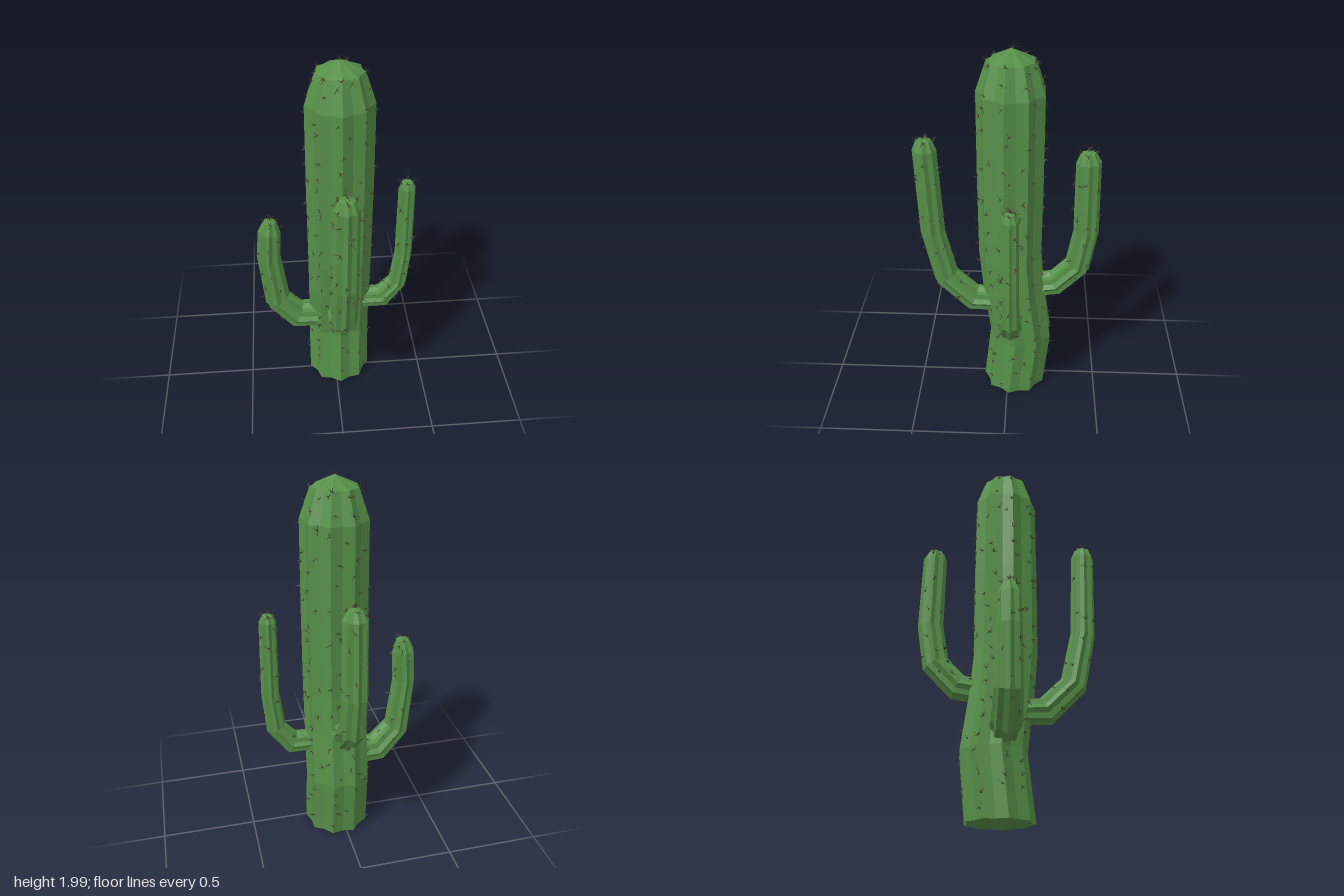
import * as THREE from 'three';
import { mergeGeometries } from 'three/addons/utils/BufferGeometryUtils.js';

const UP = new THREE.Vector3(0, 1, 0);
const green = new THREE.MeshStandardMaterial({ color: 0x568f48, flatShading: true });
const brown = new THREE.MeshStandardMaterial({ color: 0x43382a, flatShading: true, side: THREE.DoubleSide });

let seed = 7;
const rand = () => (seed = (seed * 16807) % 2147483647) / 2147483647;

// Star-shaped rings along a planar path. Each step is [distance along dir, height, radius].
function ribbedRings(origin, dir, steps, ribs, valley, level) {
  const side = new THREE.Vector3().crossVectors(dir, UP);
  const path = steps.map(([u, y]) => origin.clone().addScaledVector(dir, u).addScaledVector(UP, y));
  return path.map((center, i) => {
    const a = path[Math.max(i - 1, 0)], b = path[Math.min(i + 1, path.length - 1)];
    const before = (i ? center.clone().sub(a) : b.clone().sub(center)).normalize();
    const after = (i < path.length - 1 ? b.clone().sub(center) : before.clone()).normalize();
    const tangent = level ? UP.clone() : before.clone().add(after).normalize();
    const mitre = level ? 1 : 1 / Math.max(0.7, tangent.dot(before));
    const normal = new THREE.Vector3().crossVectors(tangent, side);
    const points = [];
    for (let j = 0; j < ribs * 2; j++) {
      const angle = (j / ribs) * Math.PI + Math.PI / 2;
      const r = steps[i][2] * (j % 2 ? valley : 1);
      points.push(center.clone()
        .addScaledVector(side, Math.cos(angle) * r)
        .addScaledVector(normal, Math.sin(angle) * r * mitre));
    }
    return { center, points };
  });
}

// Skin over the rings, closed at the bottom and brought to a point at the tip
function skin(rings, tip) {
  const pos = [];
  const tri = (...corners) => corners.forEach((p) => pos.push(p.x, p.y, p.z));
  const n = rings[0].points.length, first = rings[0], last = rings[rings.length - 1];
  for (let j = 0; j < n; j++) {
    const k = (j + 1) % n;
    for (let i = 0; i < rings.length - 1; i++) {
      const a = rings[i].points, b = rings[i + 1].points;
      tri(a[j], a[k], b[k]);
      tri(a[j], b[k], b[j]);
    }
    tri(first.center, first.points[k], first.points[j]);
    tri(last.points[j], last.points[k], tip);
  }
  const geo = new THREE.BufferGeometry();
  geo.setAttribute('position', new THREE.Float32BufferAttribute(pos, 3));
  geo.computeVertexNormals();
  return geo;
}

// A tuft of thin spikes fanning out from a point
function addTuft(list, point, out) {
  for (let i = 0; i < 6; i++) {
    const dir = new THREE.Vector3(rand() - 0.5, rand() - 0.5, rand() - 0.5)
      .normalize().addScaledVector(out, 0.75).normalize();
    const length = 0.024 + rand() * 0.014;
    const spike = new THREE.ConeGeometry(0.0021, length, 3, 1, true);
    spike.translate(0, length / 2 - 0.003, 0);
    spike.applyQuaternion(new THREE.Quaternion().setFromUnitVectors(UP, dir));
    spike.translate(point.x, point.y, point.z);
    list.push(spike);
  }
}

// Tufts spread over the skin, gathered towards the rib crests
function spines(rings, tip, start) {
  const list = [];
  const n = rings[0].points.length;
  for (let i = start; i < rings.length - 1; i++) {
    const a = rings[i], b = rings[i + 1];
    for (let j = 0; j < n; j += 2) {
      const length = a.points[j].distanceTo(b.points[j]);
      const width = a.points[j].distanceTo(a.points[(j + 2) % n]);
      const count = Math.floor((length * width) / 0.011 + rand());
      for (let c = 0; c < count; c++) {
        const t = (c + 0.15 + rand() * 0.7) / count;
        const across = rand() ** 2 * 0.9;
        const k = (j + (rand() < 0.5 ? 1 : n - 1)) % n;
        const low = a.points[j].clone().lerp(a.points[k], across);
        const high = b.points[j].clone().lerp(b.points[k], across);
        const point = low.lerp(high, t);
        const out = point.clone().sub(a.center.clone().lerp(b.center, t)).normalize();
        if (point.y > 0.04) addTuft(list, point, out);
      }
    }
  }
  // Crown tufts
  const rim = rings[rings.length - 1];
  for (let j = 0; j < n; j += 4) {
    addTuft(list, rim.points[j], rim.points[j].clone().sub(rim.center).normalize().add(UP).normalize());
  }
  addTuft(list, tip, UP);
  return mergeGeometries(list);
}

function limb(name, { origin, dir, steps, ribs, valley, level = false, start = 0, rise }) {
  const group = new THREE.Group();
  group.name = name;
  const rings = ribbedRings(origin, dir, steps, ribs, valley, level);
  const tip = rings[rings.length - 1].center.clone().addScaledVector(UP, rise);
  const body = new THREE.Mesh(skin(rings, tip), green);
  body.name = name + 'Body';
  const spikes = new THREE.Mesh(spines(rings, tip, start), brown);
  spikes.name = name + 'Spines';
  group.add(body, spikes);
  return group;
}

export function createModel() {
  const model = new THREE.Group();
  model.name = 'cactus';
  const v = (x, y, z) => new THREE.Vector3(x, y, z);

  // Trunk, leaning back at the base then straightening
  model.add(limb('trunk', {
    origin: v(0.022, 0, 0), dir: v(0, 0, 1), ribs: 9, valley: 0.88, level: true, rise: 0.055,
    steps: [[-0.04, 0, 0.174], [-0.075, 0.34, 0.172], [-0.035, 0.64, 0.17], [-0.016, 0.86, 0.17],
      [-0.016, 1.3, 0.172], [-0.016, 1.76, 0.17], [-0.016, 1.91, 0.118]],
  }));

  // Four arms that reach outward and bend upward
  const arms = {
    frontArm: [v(0.018, 0, 0), v(0, 0, 1), [[0.04, 0.55, 0.068], [0.19, 0.555, 0.07],
      [0.335, 0.70, 0.068], [0.395, 0.98, 0.065], [0.413, 1.45, 0.061], [0.412, 1.5, 0.04]]],
    backArm: [v(0.02, 0, 0), v(0, 0, -1), [[0.12, 0.65, 0.066], [0.255, 0.67, 0.068],
      [0.37, 0.79, 0.068], [0.405, 1.0, 0.066], [0.397, 1.4, 0.063], [0.393, 1.447, 0.04]]],
    leftArm: [v(0, 0, -0.022), v(1, 0, 0), [[0.1, 0.53, 0.058], [0.265, 0.535, 0.06],
      [0.347, 0.64, 0.052], [0.37, 0.85, 0.047], [0.367, 1.26, 0.044], [0.366, 1.295, 0.028]]],
    rightArm: [v(0, 0, -0.026), v(-1, 0, 0), [[0.08, 0.42, 0.075], [0.215, 0.427, 0.076],
      [0.322, 0.55, 0.07], [0.355, 0.85, 0.063], [0.345, 1.02, 0.06], [0.338, 1.085, 0.035]]],
  };
  for (const [name, [origin, dir, steps]] of Object.entries(arms)) {
    model.add(limb(name, { origin, dir, steps, ribs: 8, valley: 0.82, start: 1, rise: 0.012 }));
  }
  return model;
}
